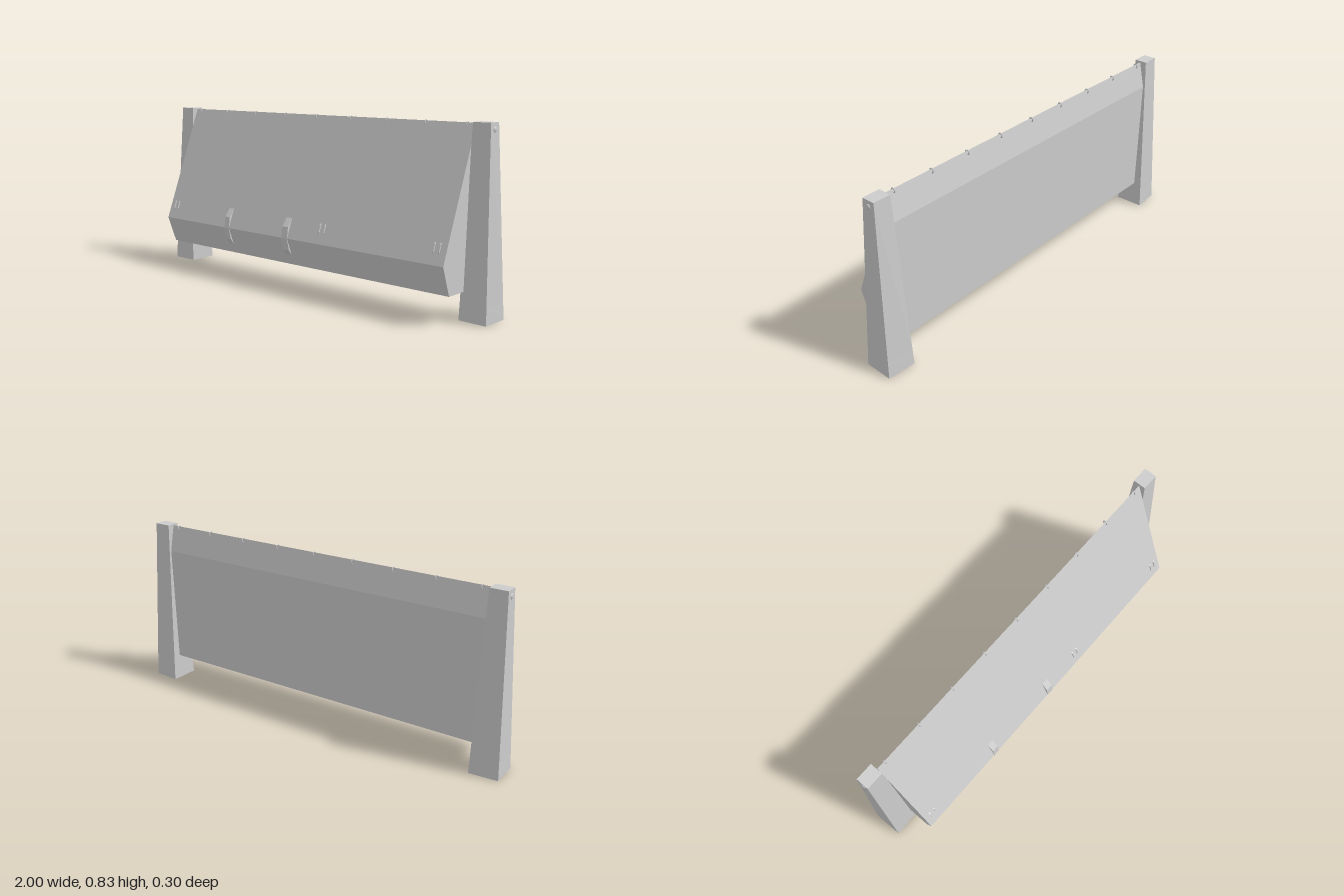
import * as THREE from 'three';
import { ConvexGeometry } from 'three/addons/geometries/ConvexGeometry.js';

const material = new THREE.MeshStandardMaterial({ color: 0xcccccc });

function add(parent, name, geometry) {
  const mesh = new THREE.Mesh(geometry, material);
  mesh.name = name;
  parent.add(mesh);
  return mesh;
}

// Extrude a [z, y] side profile along x, centred on x = cx
function extrudeX(profile, cx, width) {
  const shape = new THREE.Shape(profile.map(([z, y]) => new THREE.Vector2(-z, y)));
  const geometry = new THREE.ExtrudeGeometry(shape, { depth: width, bevelEnabled: false });
  return geometry.translate(0, 0, -width / 2).rotateY(Math.PI / 2).translate(cx, 0, 0);
}

// Four post corners at height y, from foot (t = 0) to top (t = 1)
function postSection(side, y) {
  const t = y / 0.835;
  const foot = [[0.86, -0.003], [0.995, 0], [0.998, -0.137], [0.862, -0.147]];
  const top = [[0.88, -0.041], [0.964, -0.041], [0.964, -0.104], [0.88, -0.104]];
  return foot.map(([x, z], i) => new THREE.Vector3(
    side * THREE.MathUtils.lerp(x, top[i][0], t), y,
    THREE.MathUtils.lerp(z, top[i][1], t)));
}

export function createModel() {
  const model = new THREE.Group();
  model.name = 'barrier';

  // Wedge-shaped panel between the posts
  add(model, 'panel', extrudeX(
    [[0.1, 0.125], [0.149, 0.258], [-0.071, 0.83], [-0.1, 0.7], [-0.1, 0.125]], 0, 1.755));

  // Tapered posts on short feet
  for (const side of [-1, 1]) {
    const post = new THREE.Group();
    post.name = side > 0 ? 'leftPost' : 'rightPost';
    model.add(post);
    add(post, 'foot', new ConvexGeometry([...postSection(side, 0), ...postSection(side, 0.073)]));
    add(post, 'shaft', new ConvexGeometry([...postSection(side, 0.073), ...postSection(side, 0.835)]));
    const pin = add(post, 'pin', new THREE.SphereGeometry(0.013, 10, 8));
    pin.scale.x = 0.4;
    pin.position.set(side * 0.965, 0.806, -0.072);
  }

  // Curved straps over the front edge
  for (const [x, width] of [[-0.012, 0.036], [-0.413, 0.032]]) {
    add(model, 'strap', extrudeX(
      [[0.112, 0.165], [0.137, 0.2], [0.15, 0.255], [0.143, 0.312], [0.113, 0.352]], x, width));
  }

  // Paired slim ridges low on the sloping face
  for (const x of [-0.83, 0.205, 0.83]) {
    for (const offset of [-0.014, 0.014]) {
      add(model, 'ridge', extrudeX(
        [[0.132, 0.305], [0.136, 0.312], [0.124, 0.343], [0.116, 0.348]], x + offset, 0.006));
    }
  }

  // Small loops along the top edge
  for (let i = -4; i <= 4; i++) {
    const loop = add(model, 'topLoop', new THREE.TorusGeometry(0.01, 0.003, 5, 10));
    loop.position.set(i * 0.209, 0.822, -0.071);
    loop.rotation.y = Math.PI / 2;
  }
  return model;
}
